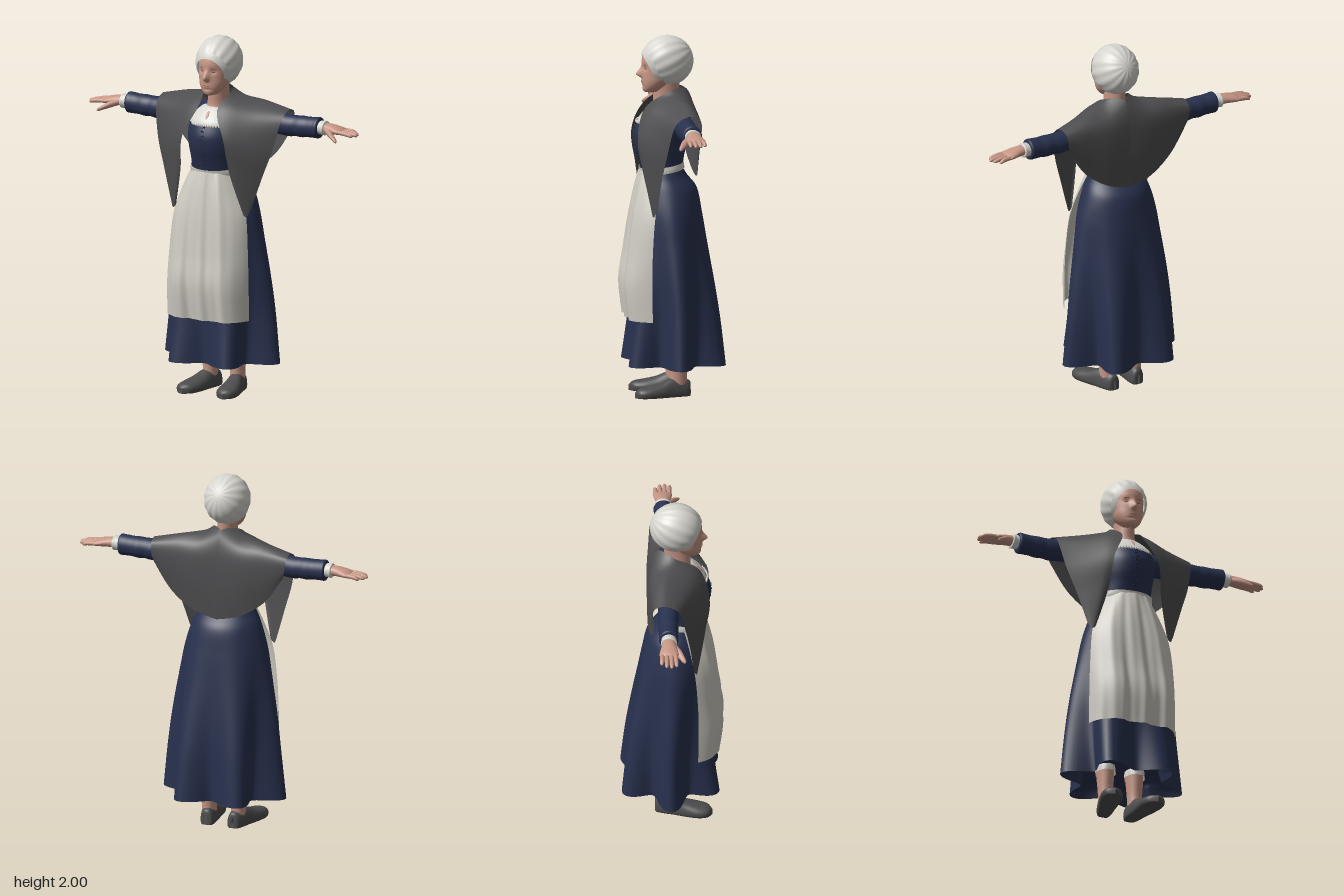
import * as THREE from 'three';
import { mergeVertices } from 'three/addons/utils/BufferGeometryUtils.js';

const mat = (name, color) => new THREE.MeshStandardMaterial({ name, color, side: THREE.DoubleSide });
const M = {
  navy: mat('navy wool', 0x28314e),
  shawl: mat('charcoal wool', 0x4e4e50),
  linen: mat('white linen', 0xd6d5cf),
  apron: mat('cream apron', 0xcdcac1),
  skin: mat('skin', 0xc69685),
  lips: mat('lips', 0xb07868),
  brow: mat('brown', 0x85614f),
  lace: mat('dark lace', 0x1c2030),
  shoe: mat('grey leather', 0x4d4d4e),
};

// Smooth interpolation through rows of numbers, t in 0..1
function sample(rows, t) {
  const n = rows.length - 1, p = Math.min(t * n, n - 1e-6), i = Math.floor(p), f = p - i;
  const at = k => rows[Math.max(0, Math.min(n, k))];
  const a = at(i - 1), b = at(i), c = at(i + 1), d = at(i + 2);
  return b.map((_, k) => 0.5 * (2 * b[k] + (c[k] - a[k]) * f
    + (2 * a[k] - 5 * b[k] + 4 * c[k] - d[k]) * f * f
    + (3 * b[k] - a[k] - 3 * c[k] + d[k]) * f * f * f));
}

function smooth(geo) {
  geo.deleteAttribute('uv');
  geo.deleteAttribute('normal');
  const g = mergeVertices(geo, 1e-5);
  g.computeVertexNormals();
  return g;
}

// Surface from f(u, v) -> [x, y, z]; side = -1 mirrors it in x
function surface(f, nu, nv, side = 1) {
  const pos = [], idx = [];
  for (let j = 0; j <= nv; j++) for (let i = 0; i <= nu; i++) {
    const [x, y, z] = f(i / nu, j / nv);
    pos.push(x * side, y, z);
  }
  for (let j = 0; j < nv; j++) for (let i = 0; i < nu; i++) {
    const a = j * (nu + 1) + i, b = a + 1, c = a + nu + 1, d = c + 1;
    if (side > 0) idx.push(a, b, c, b, d, c);
    else idx.push(a, c, b, b, c, d);
  }
  const g = new THREE.BufferGeometry();
  g.setAttribute('position', new THREE.Float32BufferAttribute(pos, 3));
  g.setIndex(idx);
  return smooth(g);
}

// Upright loft; rows are [y, half width, front z, back z, fold depth]
const loft = (rows, nu = 48, nv = 40, bump = () => 0) => surface((u, v) => {
  const [y, rx, zf, zb, d = 0] = sample(rows, v), a = u * Math.PI * 2;
  const m = 1 - d * (1 + Math.cos(6 * a)) / 2;
  const x = rx * m * Math.sin(a), z = (zf + zb) / 2 + (zf - zb) / 2 * m * Math.cos(a);
  return [x, y, z + (Math.cos(a) > 0 ? bump(x, y) : 0)];
}, nu, nv);

// Limb running along x; rows are [x, y, z, half height, half depth]
const limb = (rows, side, nu = 24, nv = 30) => surface((u, v) => {
  const [x, y, z, ry, rz] = sample(rows, v), a = -u * Math.PI * 2;
  return [x, y + Math.max(ry, 0) * Math.sin(a), z + Math.max(rz, 0) * Math.cos(a)];
}, nu, nv, side);

export function createModel() {
  const model = new THREE.Group();
  model.name = 'woman';
  const add = (name, geo, material) => {
    const mesh = new THREE.Mesh(geo, material);
    mesh.name = name;
    model.add(mesh);
    return mesh;
  };
  const blob = (name, material, p, s) => {
    const m = add(name, new THREE.SphereGeometry(1, 16, 10), material);
    m.position.set(...p);
    m.scale.set(...s);
    return m;
  };

  // Skirt with six deep folds opening towards the hem, closed inside above the ankles
  const hem = [0.18, 0.362, 0.29, -0.318, 0.36];
  add('skirt', loft([
    hem, [0.44, 0.334, 0.25, -0.284, 0.25], [0.65, 0.307, 0.23, -0.247, 0.16],
    [0.86, 0.27, 0.21, -0.205, 0.08], [1.02, 0.238, 0.195, -0.173, 0.03], [1.15, 0.195, 0.175, -0.142, 0],
    [1.22, 0.16, 0.16, -0.09, 0], [1.27, 0.138, 0.155, -0.06, 0]], 120, 60), M.navy);
  add('underskirt', loft([
    hem, [0.225, 0.33, 0.26, -0.285, 0.34], [0.265, 0.24, 0.17, -0.2, 0.2], [0.275, 0, -0.015, -0.015, 0]], 120, 20), M.navy);

  // Bodice, shirt yoke and tilted waistband
  const bodice = [
    [1.24, 0.14, 0.16, -0.06], [1.32, 0.14, 0.185, -0.07], [1.39, 0.148, 0.207, -0.085],
    [1.46, 0.154, 0.212, -0.1], [1.525, 0.152, 0.19, -0.105]];
  add('bodice', loft(bodice), M.navy);
  add('bodiceBack', loft([
    [1.48, 0.15, 0.13, -0.104], [1.54, 0.153, 0.11, -0.106], [1.6, 0.14, 0.08, -0.1], [1.635, 0.07, 0.05, -0.07]]), M.navy);
  add('shirtYoke', loft([
    [1.5, 0.14, 0.19, -0.04], [1.54, 0.14, 0.178, -0.04], [1.58, 0.115, 0.145, -0.04],
    [1.61, 0.08, 0.112, -0.04], [1.615, 0.05, 0.09, -0.03]]), M.linen);
  blob('collarSlit', M.skin, [0, 1.575, 0.15], [0.008, 0.028, 0.004]).rotation.x = -0.69;
  add('waistband', loft([
    [1.25, 0.15, 0.172, -0.072], [1.265, 0.149, 0.176, -0.073], [1.285, 0.144, 0.178, -0.072]], 48, 8)
    .translate(0, -1.265, -0.05).rotateX(0.12).translate(0, 1.265, 0.05), M.apron);

  // Front lacing and neckline trim
  for (let i = 0; i < 10; i++) {
    const [y, , z] = sample(bodice, 0.2 + 0.74 * i / 9), s = i % 2 ? 1 : -1;
    blob('eyelet', M.lace, [0.008 * s, y, z], [0.004, 0.004, 0.004]);
    const bar = add('laceBar', new THREE.BoxGeometry(0.018, 0.004, 0.004), M.lace);
    bar.position.set(0, y, z + 0.001);
    bar.rotation.z = 0.6 * s;
  }
  for (let i = -6; i <= 6; i++) {
    const x = i * 0.014;
    blob('ruffle', M.linen, [x, 1.524, 0.043 + 0.149 * Math.sqrt(1 - (x / 0.152) ** 2)], [0.007, 0.009, 0.005]);
  }

  // Apron: rows are [y, half width, front z, edge z]
  const apronRows = [
    [1.258, 0.148, 0.178, 0.06], [1.15, 0.19, 0.202, 0.09], [1.0, 0.232, 0.228, 0.12],
    [0.8, 0.25, 0.252, 0.135], [0.63, 0.256, 0.272, 0.138], [0.44, 0.257, 0.252, 0.135]];
  add('apron', surface((u, v) => {
    const [y, w, zf, ze] = sample(apronRows, v), k = 2 * u - 1;
    const z = ze + (zf - ze) * (1 - Math.abs(k) ** (2.5 + 3.5 * v));
    const fold = Math.cos(k * 11 + Math.sin(v * 5)) + 0.3 * Math.cos(k * 26 - v * 3);
    return [k * w, y, z + 0.008 * Math.min(1, 0.3 + v) * (1 - k ** 4) * fold];
  }, 80, 50), M.apron);

  // Shawl: each column runs from back hem over the shoulder to the front point
  const shawl = [
    [[0, 1.21, -0.137], [0, 1.4, -0.14], [0, 1.6, -0.125], [0, 1.705, -0.08],
      [0.077, 1.7, 0.01], [0.062, 1.61, 0.15], [0.132, 1.45, 0.202], [0.157, 1.26, 0.175], [0.212, 1.045, 0.13]],
    [[0.14, 1.245, -0.128], [0.13, 1.42, -0.14], [0.12, 1.58, -0.13], [0.12, 1.65, -0.085],
      [0.125, 1.672, 0], [0.13, 1.61, 0.125], [0.175, 1.45, 0.18], [0.19, 1.26, 0.17], [0.223, 1.028, 0.132]],
    [[0.28, 1.34, -0.112], [0.265, 1.45, -0.128], [0.255, 1.57, -0.125], [0.25, 1.63, -0.095],
      [0.25, 1.648, -0.03], [0.25, 1.58, 0.085], [0.265, 1.42, 0.13], [0.25, 1.24, 0.135], [0.238, 1.028, 0.125]],
    [[0.385, 1.49, -0.108], [0.395, 1.53, -0.117], [0.4, 1.575, -0.115], [0.402, 1.603, -0.095],
      [0.404, 1.612, -0.04], [0.398, 1.56, 0.03], [0.365, 1.4, 0.068], [0.312, 1.24, 0.093], [0.255, 1.06, 0.112]]];
  for (const s of [1, -1]) {
    add('shawl', surface((u, v) => sample(shawl.map(c => sample(c, v)), u), 30, 64, s), M.shawl);
  }

  for (const s of [1, -1]) {
    // Sleeve and cuff
    add('sleeve', limb([
      [0.1, 1.53, -0.02, 0.06, 0.06], [0.2, 1.54, -0.025, 0.062, 0.058], [0.32, 1.54, -0.03, 0.061, 0.056],
      [0.42, 1.533, -0.032, 0.061, 0.057], [0.46, 1.535, -0.033, 0.058, 0.053], [0.5, 1.535, -0.034, 0.06, 0.056],
      [0.54, 1.537, -0.034, 0.057, 0.052], [0.58, 1.539, -0.035, 0.058, 0.053], [0.612, 1.54, -0.035, 0.054, 0.05],
      [0.612, 1.54, -0.035, 0, 0]], s, 28, 54), M.navy);
    add('cuff', limb([
      [0.6, 1.542, -0.035, 0.036, 0.041], [0.63, 1.543, -0.035, 0.039, 0.042],
      [0.65, 1.543, -0.035, 0.037, 0.042], [0.65, 1.543, -0.035, 0, 0]], s), M.linen);

    // Hand with four fingers and a thumb
    add('palm', limb([
      [0.635, 1.545, -0.035, 0.029, 0.034], [0.68, 1.544, -0.035, 0.027, 0.041], [0.72, 1.54, -0.036, 0.023, 0.05],
      [0.755, 1.535, -0.037, 0.016, 0.049], [0.772, 1.532, -0.037, 0, 0]], s), M.skin);
    [0.825, 0.848, 0.855, 0.842].forEach((tip, i) => {
      const z = -0.073 + 0.024 * i, spread = (i - 1.5) * 0.003;
      add('finger', limb([
        [0.73, 1.537, z, 0.012, 0.0125], [0.79, 1.534, z + spread * 0.5, 0.0125, 0.0125],
        [tip - 0.012, 1.527, z + spread, 0.01, 0.01], [tip, 1.524, z + spread, 0, 0]], s, 12, 14), M.skin);
    });
    add('thumb', limb([
      [0.655, 1.54, -0.02, 0.018, 0.022], [0.7, 1.525, 0.012, 0.019, 0.022], [0.735, 1.508, 0.034, 0.014, 0.017],
      [0.757, 1.497, 0.047, 0.01, 0.011], [0.767, 1.492, 0.052, 0, 0]], s, 14, 18), M.skin);

    // Leg, stocking frill and shoe
    const leg = add('leg', loft([
      [0.05, 0.04, 0.02, -0.075], [0.12, 0.041, 0.018, -0.078], [0.2, 0.046, 0.025, -0.088],
      [0.28, 0.052, 0.032, -0.096]], 24, 16), M.skin);
    const frill = add('frill', loft([
      [0.235, 0.058, 0.038, -0.1, 0.08], [0.255, 0.056, 0.036, -0.1, 0.04], [0.28, 0.052, 0.032, -0.096, 0]], 36, 6), M.linen);
    leg.position.x = frill.position.x = 0.087 * s;
    // Shoe rows are [z, centre x, half width, top height]
    const shoe = [
      [-0.098, 0.078, 0.004, 0.06], [-0.09, 0.079, 0.033, 0.085], [-0.04, 0.086, 0.046, 0.1], [0.01, 0.096, 0.05, 0.1],
      [0.07, 0.109, 0.058, 0.076], [0.14, 0.121, 0.062, 0.06], [0.19, 0.127, 0.046, 0.05], [0.217, 0.129, 0.004, 0.03]];
    add('shoe', surface((u, v) => {
      const [z, cx, w, h] = sample(shoe, v), a = u * Math.PI * 2, c = Math.cos(a), q = Math.sin(a);
      const y = q > 0 ? 0.022 + (h - 0.022) * q : 0.022 * (1 - Math.min(1, -q * 2));
      return [cx + Math.max(w, 0) * Math.sign(c) * Math.abs(c) ** 0.8, Math.max(y, 0), z];
    }, 32, 40, s), M.shoe);
  }

  // Neck and head, with nose and eye sockets pushed into the face
  add('neck', loft([
    [1.56, 0.075, 0.12, -0.05], [1.62, 0.06, 0.1, -0.045], [1.68, 0.053, 0.1, -0.045], [1.76, 0.055, 0.1, -0.05]], 32, 16), M.skin);
  const g2 = (d, s) => Math.exp(-d * d / (s * s));
  const faceBump = (x, y) => {
    const up = y - 1.785;
    return 0.032 * g2(x, 0.015) * g2(up, up > 0 ? 0.034 : 0.013)
      - 0.008 * g2(Math.abs(x) - 0.036, 0.017) * g2(y - 1.823, 0.014)
      - 0.005 * g2(x, 0.03) * g2(y - 1.722, 0.008);
  };
  add('head', loft([
    [1.684, 0.004, 0.125, 0.09], [1.69, 0.034, 0.15, 0.06], [1.715, 0.06, 0.16, 0.03], [1.75, 0.079, 0.163, -0.01],
    [1.79, 0.089, 0.162, -0.05], [1.83, 0.094, 0.161, -0.07], [1.87, 0.096, 0.161, -0.08],
    [1.91, 0.09, 0.145, -0.07], [1.95, 0.06, 0.09, -0.04]], 96, 70, faceBump), M.skin);
  for (const s of [-1, 1]) {
    blob('eye', M.brow, [0.035 * s, 1.822, 0.1455], [0.012, 0.004, 0.004]).rotation.y = 0.35 * s;
    blob('eyebrow', M.brow, [0.036 * s, 1.843, 0.1505], [0.017, 0.0022, 0.004]).rotation.y = 0.35 * s;
  }
  blob('mouth', M.lips, [0, 1.746, 0.161], [0.024, 0.0045, 0.005]);

  // Gathered cap with a smooth band around the face opening
  const cap = (start, end, size, ripple) => {
    const g = new THREE.SphereGeometry(1, 112, 36, 0, Math.PI * 2, start, end - start), p = g.attributes.position;
    for (let i = 0; i < p.count; i++) {
      const a = Math.atan2(p.getZ(i), p.getX(i)), r = Math.hypot(p.getX(i), p.getZ(i));
      const k = size * (1 + ripple * r * Math.cos(14 * a));
      p.setXYZ(i, p.getX(i) * k, p.getY(i) * k, p.getZ(i) * k);
    }
    g.rotateX(2.035).scale(0.126, 0.14, 0.145).translate(0, 1.86, 0.02);
    return smooth(g);
  };
  add('cap', cap(0.74, Math.PI, 0.99, 0.013), M.linen);
  add('capBand', cap(0.72, 0.98, 1.01, 0), M.linen);
  return model;
}
